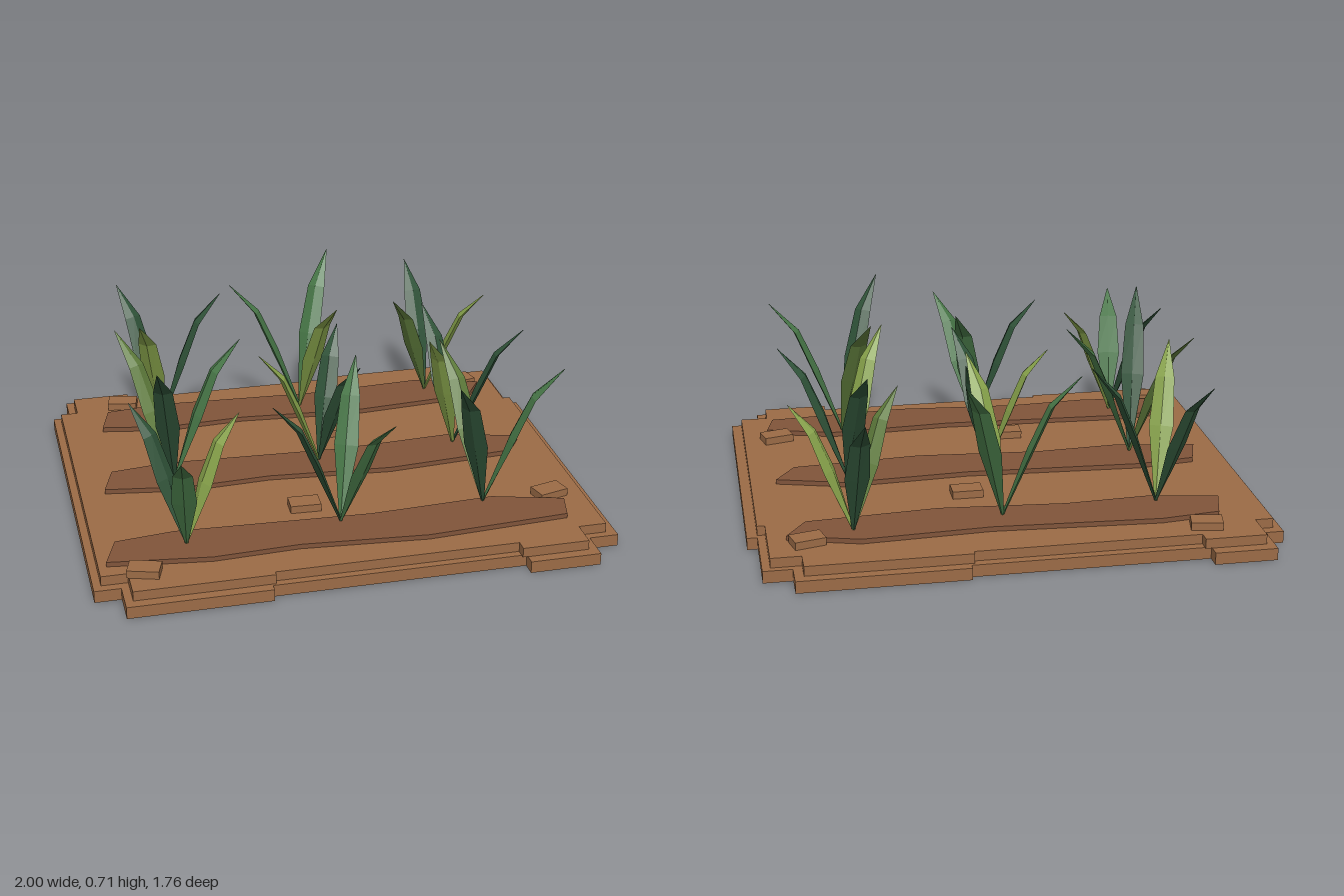
import * as THREE from 'three';

const paint = (name, color, extra = {}) => new THREE.MeshStandardMaterial({ name, color, flatShading: true, ...extra });

// Flat slab from an [x, z] outline, between two heights
function slab(name, outline, y0, y1, material) {
  const shape = new THREE.Shape(outline.map(([x, z]) => new THREE.Vector2(x, -z)));
  const geo = new THREE.ExtrudeGeometry(shape, { depth: y1 - y0, bevelEnabled: false });
  geo.rotateX(-Math.PI / 2).translate(0, y0, 0);
  const mesh = new THREE.Mesh(geo, material);
  mesh.name = name;
  return mesh;
}

// Folded blade: diamond cross-sections along a path that leans out along +x
function leafGeometry(reach, height) {
  const rings = [[0, 0, 0.006, 0.004], [0.36, 0.48, 0.047, 0.013], [0.62, 0.79, 0.037, 0.011], [1, 1, 0.001, 0.001]]
    .map(([r, h, w, t]) => {
      const x = r * reach, y = h * height;
      return [[x, y, w], [x + t, y - t * 0.5, 0], [x, y, -w], [x - t, y + t * 0.5, 0]];
    });
  const pos = [];
  for (let i = 0; i < 3; i++) {
    for (let j = 0; j < 4; j++) {
      const k = (j + 1) % 4;
      const a = rings[i][j], b = rings[i][k], c = rings[i + 1][k], d = rings[i + 1][j];
      pos.push(...a, ...c, ...b, ...a, ...d, ...c);
    }
  }
  const geo = new THREE.BufferGeometry();
  geo.setAttribute('position', new THREE.Float32BufferAttribute(pos, 3));
  geo.computeVertexNormals();
  return geo;
}

export function createModel() {
  const group = new THREE.Group();
  const soil = paint('soil brown', 0x9b6b46);
  const furrow = paint('furrow brown', 0x80543a);
  const greens = {
    d: paint('dark leaf green', 0x2f5238, { side: THREE.DoubleSide }),
    m: paint('leaf green', 0x467546, { side: THREE.DoubleSide }),
    l: paint('light leaf green', 0x86a14a, { side: THREE.DoubleSide }),
    o: paint('olive leaf green', 0x5f7c3c, { side: THREE.DoubleSide }),
  };

  // Two stepped soil slabs
  group.add(slab('lowerSoil', [
    [-0.93, -0.885], [-0.69, -0.885], [-0.69, -0.83], [0.21, -0.83], [0.21, -0.855], [0.85, -0.855],
    [0.85, -0.75], [0.96, -0.75], [0.96, -0.45], [1, -0.45], [1, 0.755], [0.885, 0.755], [0.885, 0.875],
    [0.61, 0.875], [0.61, 0.82], [-0.36, 0.82], [-0.36, 0.85], [-0.9, 0.85], [-0.9, 0.715], [-1, 0.715],
    [-1, -0.74], [-0.93, -0.74]], 0, 0.047, soil));
  group.add(slab('upperSoil', [
    [-0.9, -0.84], [-0.665, -0.84], [-0.665, -0.795], [0.195, -0.795], [0.195, -0.815], [0.815, -0.815],
    [0.815, -0.725], [0.93, -0.725], [0.93, -0.43], [0.96, -0.43], [0.96, 0.725], [0.85, 0.725], [0.85, 0.835],
    [0.59, 0.835], [0.59, 0.79], [-0.345, 0.79], [-0.345, 0.81], [-0.87, 0.81], [-0.87, 0.68], [-0.97, 0.68],
    [-0.97, -0.7], [-0.9, -0.7]], 0.047, 0.085, soil));

  // Raised planting rows, alike but for the left end
  [[-0.55, -0.775, -0.815], [0, -0.83, -0.875], [0.56, -0.89, -0.94]].forEach(([z, xa, xb], i) => {
    const outline = [[xa, -0.09], [xa + 0.23, -0.118], [0.1, -0.082], [0.59, -0.108], [0.86, -0.03],
      [i === 2 ? 0.83 : 0.78, 0.09], [0.27, 0.128], [-0.22, 0.088], [-0.55, 0.105], [xb, 0.055]];
    group.add(slab('plantingRow', outline.map(([x, dz]) => [x, z + dz]), 0.085, 0.104, furrow));
  });

  // Clods: x, z, turn
  for (const [x, z, turn] of [[-0.7, -0.725, -0.2], [0.785, -0.62, 0.25], [0.135, -0.265, 0],
    [-0.135, 0.34, -0.04], [0.825, 0.455, 0.26], [-0.81, 0.69, -0.3]]) {
    const clod = new THREE.Mesh(new THREE.BoxGeometry(0.12, 0.03, 0.08), soil);
    clod.name = 'clod';
    clod.position.set(x, 0.1, z);
    clod.rotation.y = turn;
    group.add(clod);
  }

  // Plants: [x, z], then leaves as [tip x, tip z, tip height, colour]
  const plants = [
    [[-0.565, -0.495], [-0.70, -0.75, 0.64, 'd'], [-0.30, -0.51, 0.66, 'd'], [-0.675, -0.22, 0.66, 'l']],
    [[0.04, -0.525], [0.22, -0.785, 0.71, 'm'], [-0.245, -0.585, 0.66, 'm'], [0.13, -0.225, 0.66, 'l']],
    [[0.61, -0.565], [0.585, -0.84, 0.61, 'd'], [0.83, -0.455, 0.57, 'l'], [0.415, -0.40, 0.6, 'o']],
    [[-0.595, 0.035], [-0.775, -0.22, 0.66, 'o'], [-0.31, -0.025, 0.66, 'm'], [-0.69, 0.35, 0.71, 'd']],
    [[0.005, -0.01], [0.13, -0.225, 0.6, 'd'], [-0.235, -0.02, 0.58, 'l'], [0.11, 0.24, 0.61, 'd']],
    [[0.58, -0.04], [0.52, -0.335, 0.61, 'd'], [0.83, 0.055, 0.62, 'd'], [0.405, 0.17, 0.66, 'l']],
    [[-0.63, 0.54], [-0.80, 0.35, 0.61, 'd'], [-0.405, 0.455, 0.58, 'l'], [-0.68, 0.81, 0.57, 'm']],
    [[-0.03, 0.505], [0.095, 0.225, 0.66, 'm'], [-0.295, 0.53, 0.62, 'd'], [0.11, 0.76, 0.61, 'm']],
    [[0.545, 0.475], [0.45, 0.155, 0.66, 'o'], [0.83, 0.53, 0.66, 'm'], [0.36, 0.725, 0.71, 'd']],
  ];
  for (const [[px, pz], ...leaves] of plants) {
    const plant = new THREE.Group();
    plant.name = 'plant';
    plant.position.set(px, 0.103, pz);
    for (const [tx, tz, ty, colour] of leaves) {
      const dx = tx - px, dz = tz - pz;
      const leaf = new THREE.Mesh(leafGeometry(Math.hypot(dx, dz), ty - 0.103), greens[colour]);
      leaf.name = 'leaf';
      leaf.rotation.y = -Math.atan2(dz, dx);
      plant.add(leaf);
    }
    group.add(plant);
  }
  return group;
}
